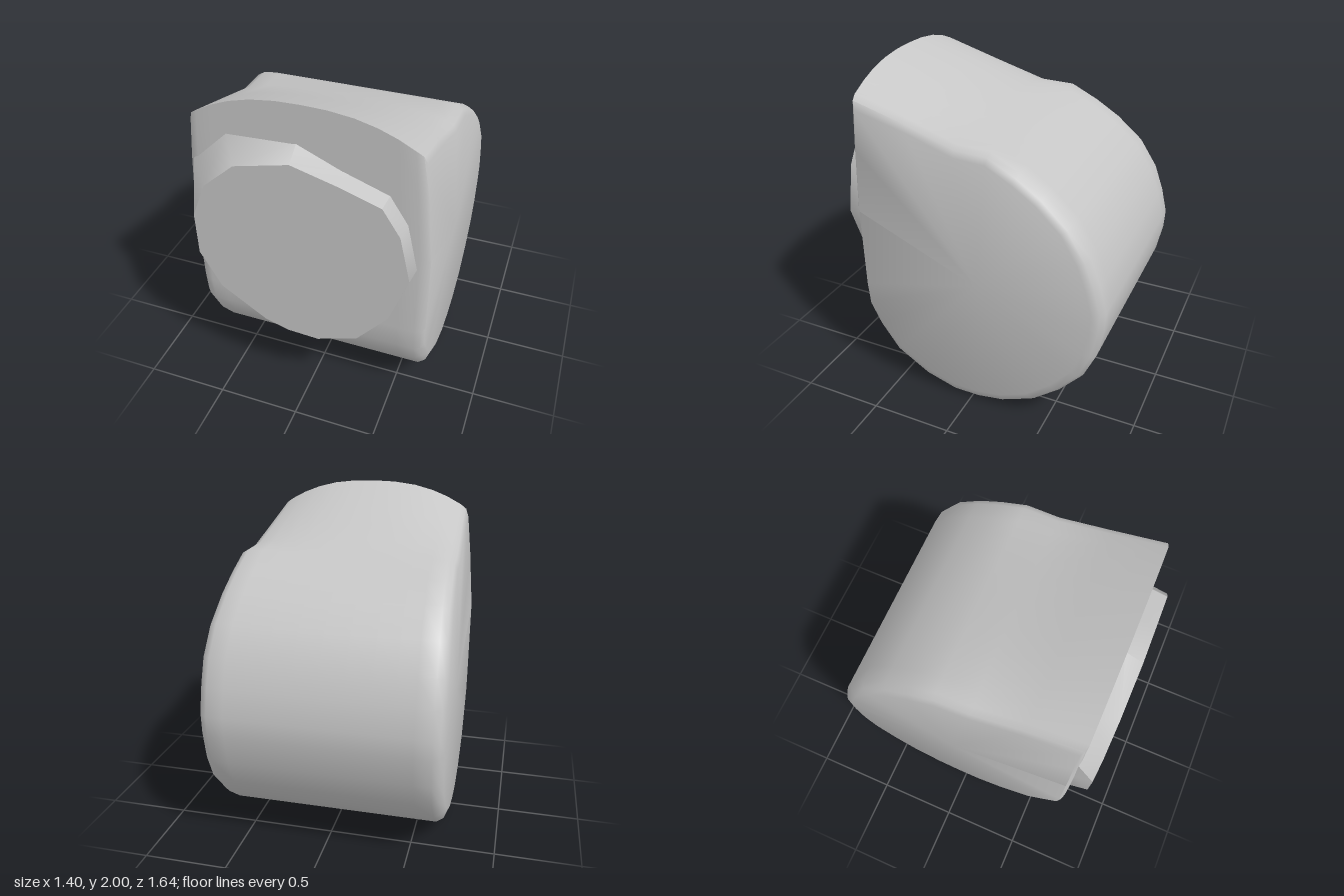
import * as THREE from 'three';
import { toCreasedNormals } from 'three/addons/utils/BufferGeometryUtils.js';

// Skin a list of equal-length closed loops and cap both ends.
function loft(loops, crease) {
  const n = loops[0].length, pos = [], idx = [];
  loops.forEach(l => l.forEach(p => pos.push(...p)));
  for (let r = 0; r < loops.length - 1; r++) {
    for (let i = 0; i < n; i++) {
      const a = r * n + i, b = r * n + (i + 1) % n;
      idx.push(a, b, b + n, a, b + n, a + n);
    }
  }
  [0, loops.length - 1].forEach((r, end) => {
    const c = pos.length / 3;
    const mid = [0, 1, 2].map(k => loops[r].reduce((s, p) => s + p[k], 0) / n);
    pos.push(...mid);
    for (let i = 0; i < n; i++) {
      const a = r * n + i, b = r * n + (i + 1) % n;
      if (end) idx.push(c, a, b); else idx.push(c, b, a);
    }
  });
  const g = new THREE.BufferGeometry();
  g.setAttribute('position', new THREE.Float32BufferAttribute(pos, 3));
  g.setIndex(idx);
  return toCreasedNormals(g, crease);
}

export function createModel() {
  const group = new THREE.Group();
  const grey = new THREE.MeshStandardMaterial({ color: 0xc6c6c6 });
  grey.name = 'grey';

  // Side profile as [z, y], from the front peak over the back and underneath.
  const profile = [
    [0.715, 2.0], [0.4, 1.87], [0.08, 1.73], [-0.13, 1.67], [-0.3, 1.585], [-0.45, 1.49],
    [-0.61, 1.35], [-0.72, 1.18], [-0.78, 1.02], [-0.82, 0.86], [-0.815, 0.74], [-0.78, 0.56],
    [-0.71, 0.4], [-0.57, 0.24], [-0.41, 0.11], [-0.22, 0.03], [-0.05, 0.0], [0.12, 0.0],
    [0.32, 0.06], [0.53, 0.19], [0.65, 0.36], [0.705, 0.5], [0.715, 0.65], [0.715, 1.2], [0.715, 1.6],
  ];

  // Body: profile swept across x, domed at the front peak, rounded at the cheeks.
  const half = [[0.15, 0], [0.3, 0], [0.43, 0], [0.54, 0], [0.64, 0], [0.68, 0.025], [0.7, 0.07]];
  const stations = [...half.slice().reverse(), [0, 0], ...half.map(([x, s]) => [-x, s])];
  const sections = stations.map(([x, inset]) => profile.map(([z, y]) => {
    const front = THREE.MathUtils.clamp((z + 0.3) / 1.0, 0, 1);
    const high = THREE.MathUtils.clamp((y - 1.25) / 0.65, 0, 1);
    const dome = y > 1.7 ? 0.14 * front * Math.pow(Math.min(Math.abs(x) / 0.64, 1), 2.5) : 0;
    const k = 1 - inset / 0.85;
    const zz = z > 0.7 ? z - inset * 0.35 : z * k;
    return [x * (1 - 0.08 * high), 0.95 + (y - dome - 0.95) * k, zz];
  }));
  const body = new THREE.Mesh(loft(sections, 0.9), grey);
  body.name = 'body';
  group.add(body);

  // Front disc: uneven round plate, [x, y] anticlockwise; its upper left flank slopes gently into the body.
  const face = [
    [0.62, 1.12], [0.56, 1.4], [0.46, 1.56], [0.22, 1.64], [-0.03, 1.71], [-0.35, 1.63],
    [-0.54, 1.46], [-0.63, 1.24], [-0.63, 0.97], [-0.51, 0.74], [-0.24, 0.555],
    [-0.1, 0.51], [0.09, 0.5], [0.33, 0.59], [0.51, 0.81],
  ];
  const base = face.map(([x, y]) => {
    const slope = Math.max(0, (-0.7 * x + 0.7 * (y - 1.1)) / 0.62);
    const grow = 1.02 + 0.22 * slope ** 3;
    return [Math.max(x * grow, -0.645), 1.1 + (y - 1.1) * grow];
  });
  const ring = (outline, z) => outline.map(([x, y]) => [x, y, z]);
  const disc = new THREE.Mesh(loft([ring(base, 0.69), ring(base, 0.71), ring(face, 0.82)], 0.6), grey);
  disc.name = 'frontDisc';
  group.add(disc);

  return group;
}
